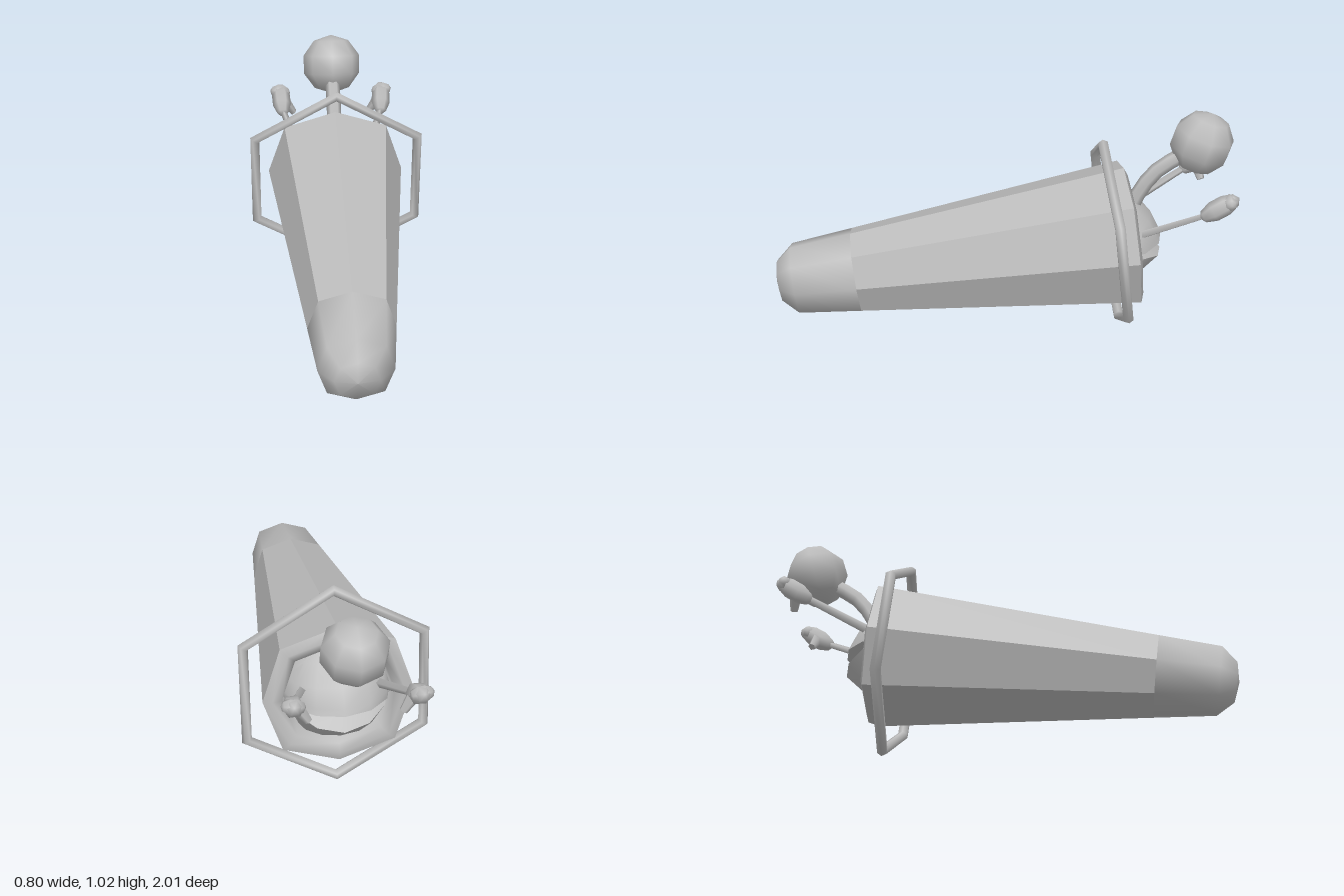
import * as THREE from 'three';
import { toCreasedNormals } from 'three/addons/utils/BufferGeometryUtils.js';

const grey = new THREE.MeshStandardMaterial({ color: 0xbbbbbb });
grey.name = 'plain grey';

function add(parent, name, geometry) {
  const mesh = new THREE.Mesh(geometry, grey);
  mesh.name = name;
  parent.add(mesh);
  return mesh;
}

// Skin a grid of points; wrap joins the last column to the first.
function skin(rows, wrap) {
  const n = rows[0].length;
  const index = [];
  const cols = wrap ? n : n - 1;
  for (let j = 0; j < rows.length - 1; j++) {
    for (let i = 0; i < cols; i++) {
      const k = (i + 1) % n;
      const a = j * n + i, b = (j + 1) * n + i, c = j * n + k, d = (j + 1) * n + k;
      index.push(a, b, c, c, b, d);
    }
  }
  const g = new THREE.BufferGeometry();
  g.setAttribute('position', new THREE.Float32BufferAttribute(rows.flat(2), 3));
  g.setIndex(index);
  g.computeVertexNormals();
  return g;
}

// Eight-sided sections along z, from stations [z, radius]; diagonals swell a little.
function octagonLoft(stations) {
  return skin(stations.map(([z, r]) => Array.from({ length: 8 }, (_, i) => {
    const a = (i * Math.PI) / 4;
    const q = i % 2 ? r * 1.065 : r;
    return [q * Math.sin(a), q * Math.cos(a) * 0.985, z];
  })), true);
}

// Head with a notched mouth: rows [y, z at the middle, half width, y at the sides].
function headGeometry() {
  const rows = [
    [0.22, 0.06, 0.08, 0.21],
    [0.165, -0.025, 0.16, 0.15],
    [0.085, -0.1, 0.21, 0.08],
    [0.0, -0.13, 0.225, 0.02],
    [-0.025, -0.14, 0.225, -0.015],
    [-0.04, -0.06, 0.22, -0.02],
    [-0.105, -0.13, 0.215, -0.03],
    [-0.17, -0.04, 0.16, -0.15],
    [-0.22, 0.06, 0.08, -0.21],
  ];
  const g = skin(rows.map(([y, z, w, side]) => Array.from({ length: 7 }, (_, i) => {
    const t = (1 - i / 3) * Math.PI / 2;
    const s = Math.sin(t);
    return [w * s, y + (side - y) * s * s, 0.06 + (z - 0.06) * Math.cos(t)];
  })), false);
  return toCreasedNormals(g, 0.8);
}

// Tapered bar between two points.
function bar(from, to, r0, r1, sides) {
  const a = new THREE.Vector3(...from), b = new THREE.Vector3(...to);
  const d = b.clone().sub(a);
  const g = new THREE.CylinderGeometry(r1, r0, d.length(), sides);
  g.applyQuaternion(new THREE.Quaternion().setFromUnitVectors(new THREE.Vector3(0, 1, 0), d.normalize()));
  const m = a.add(b).multiplyScalar(0.5);
  return g.translate(m.x, m.y, m.z);
}

// Low-sided ellipsoid stretched along the line between two points.
function blob(from, to, r) {
  const a = new THREE.Vector3(...from), b = new THREE.Vector3(...to);
  const d = b.clone().sub(a);
  const g = new THREE.SphereGeometry(1, 6, 5).scale(r, d.length() / 2, r);
  g.applyQuaternion(new THREE.Quaternion().setFromUnitVectors(new THREE.Vector3(0, 1, 0), d.normalize()));
  const m = a.add(b).multiplyScalar(0.5);
  return g.translate(m.x, m.y, m.z);
}

export function createModel() {
  const model = new THREE.Group();
  model.name = 'model';

  // Tilted shell, its nose pointing forward and slightly down
  const shell = new THREE.Group();
  shell.name = 'shell';
  shell.position.set(0, 0.465, -0.565);
  shell.rotation.x = 0.115;
  model.add(shell);

  add(shell, 'casing', toCreasedNormals(octagonLoft([[0, 0.315], [1.22, 0.182]]), 0.6));
  add(shell, 'nose', octagonLoft([[1.22, 0.182], [1.49, 0.153], [1.56, 0.09], [1.575, 0]]));
  add(shell, 'rearLip', octagonLoft([[0.07, 0], [0.07, 0.22], [0, 0.235], [-0.015, 0.275], [0, 0.315]]));
  add(shell, 'head', headGeometry());

  // Six-sided hoop around the casing
  const hoop = add(shell, 'hoop', new THREE.TorusGeometry(0.435, 0.024, 6, 6));
  hoop.rotation.z = Math.PI / 6;
  hoop.position.z = 0.08;

  // Curved stalk carrying a ball
  const path = new THREE.CatmullRomCurve3([
    new THREE.Vector3(0, 0.58, -0.57),
    new THREE.Vector3(0, 0.67, -0.61),
    new THREE.Vector3(0, 0.76, -0.68),
    new THREE.Vector3(0, 0.83, -0.79),
  ]);
  add(model, 'stalk', new THREE.TubeGeometry(path, 5, 0.034, 6));
  const ball = add(model, 'ball', new THREE.SphereGeometry(0.14, 8, 5));
  ball.position.set(0, 0.882, -0.866);
  ball.rotation.x = -0.3;

  // Mirrored arms with mitten hands
  for (const s of [1, -1]) {
    const arm = new THREE.Group();
    arm.name = s > 0 ? 'leftArm' : 'rightArm';
    model.add(arm);
    add(arm, 'forearm', bar([0.155 * s, 0.52, -0.58], [0.24 * s, 0.655, -0.86], 0.02, 0.015, 4));
    add(arm, 'palm', blob([0.237 * s, 0.635, -0.825], [0.25 * s, 0.735, -0.985], 0.046));
    add(arm, 'fingers', blob([0.2 * s, 0.705, -0.945], [0.297 * s, 0.72, -0.945], 0.036));
    add(arm, 'thumb', bar([0.23 * s, 0.68, -0.9], [0.185 * s, 0.615, -0.915], 0.03, 0.017, 5));
  }

  return model;
}
